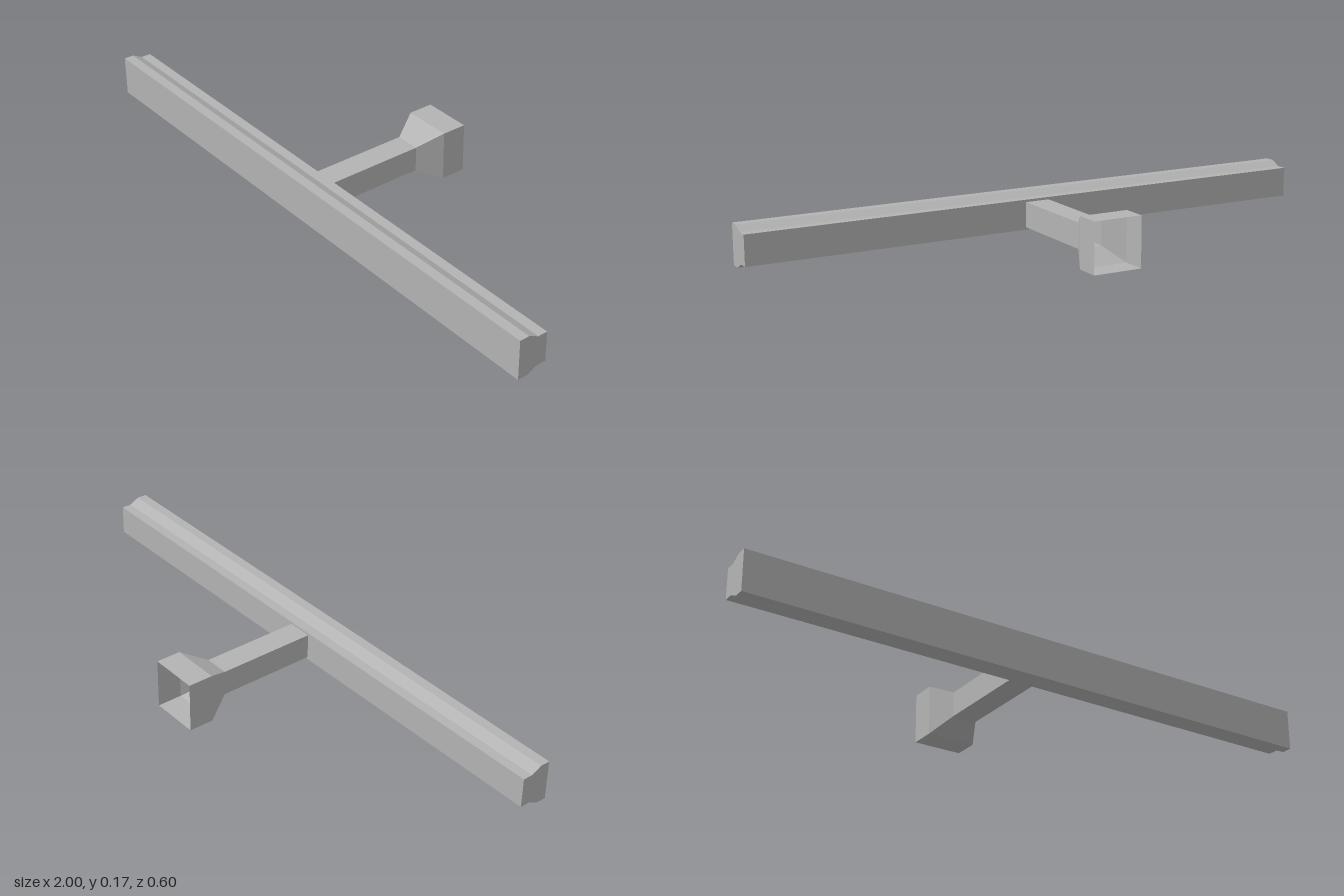
import * as THREE from 'three';

const CENTER_Y = 0.0835;

export function createModel() {
  const group = new THREE.Group();
  const grey = new THREE.MeshStandardMaterial({ color: 0xb3b3b3, flatShading: true, side: THREE.DoubleSide });
  grey.name = 'plain grey';

  // Long crossbar: stepped profile, written as [-z, half height], swept along x
  const upper = [[-0.3, 0.067], [-0.267, 0.067], [-0.233, 0.05], [-0.2, 0.05]];
  const lower = upper.map(([u, h]) => [u, -h]).reverse();
  const profile = new THREE.Shape([...upper, ...lower].map(([u, v]) => new THREE.Vector2(u, v)));
  const barGeometry = new THREE.ExtrudeGeometry(profile, { depth: 2, bevelEnabled: false });
  barGeometry.rotateY(Math.PI / 2).translate(-1, CENTER_Y, 0);
  const bar = new THREE.Mesh(barGeometry, grey);
  bar.name = 'crossbar';
  group.add(bar);

  // Square hollow tube along z, from [half width, -z] pairs
  const squareTube = (name, sections) => {
    const points = sections.map(([half, u]) => new THREE.Vector2(half * Math.SQRT2, u));
    const geometry = new THREE.LatheGeometry(points, 4, Math.PI / 4).toNonIndexed();
    geometry.rotateX(-Math.PI / 2).translate(0, CENTER_Y, 0);
    geometry.computeVertexNormals();
    const mesh = new THREE.Mesh(geometry, grey);
    mesh.name = name;
    group.add(mesh);
  };

  // Stem behind the bar, widening into an open square socket
  squareTube('stem', [[0.042, -0.2], [0.042, 0.135]]);
  squareTube('flaredSocket', [[0.042, 0.135], [0.0835, 0.216], [0.0835, 0.3]]);

  return group;
}
